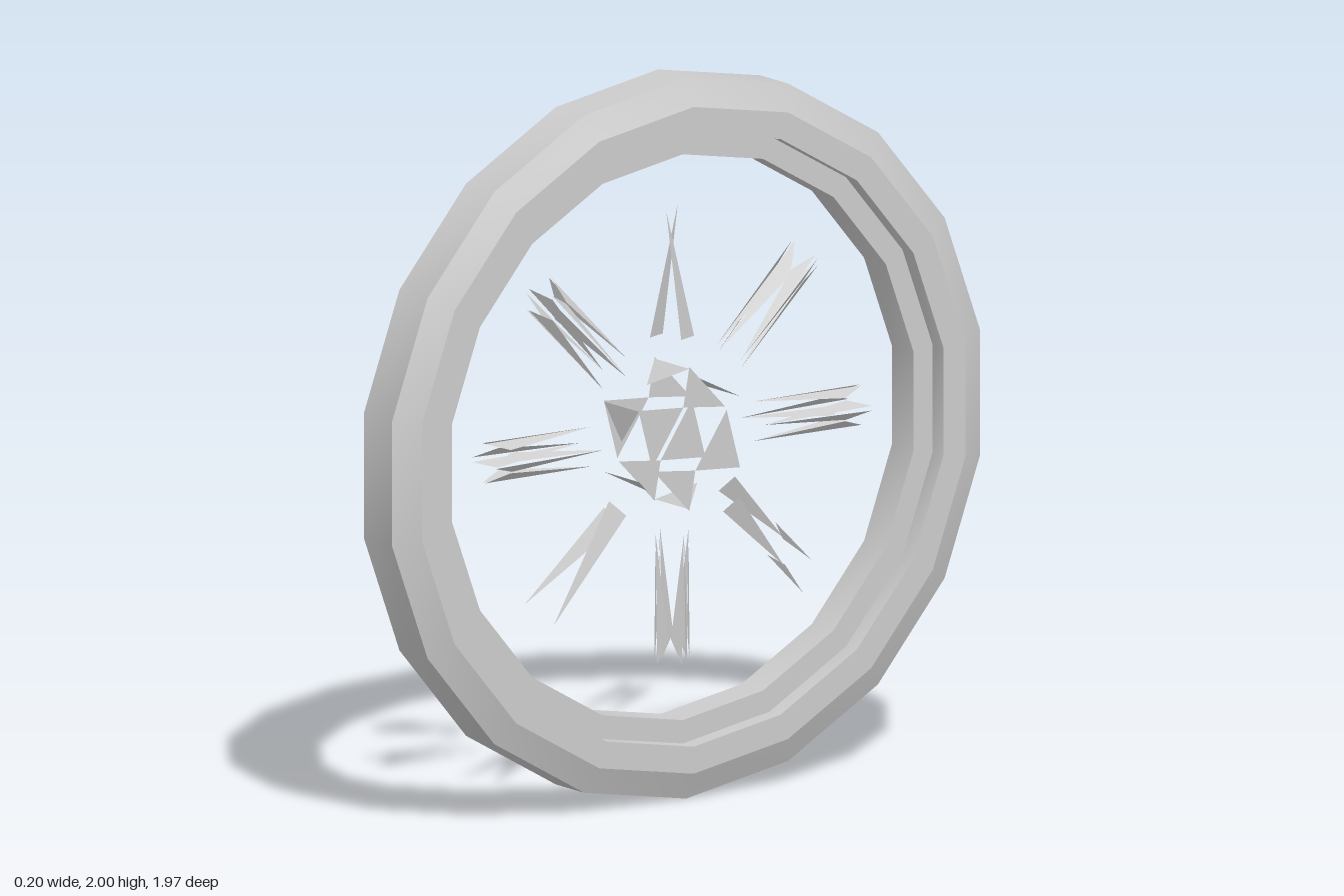
import * as THREE from 'three';
import { toCreasedNormals } from 'three/addons/utils/BufferGeometryUtils.js';

const grey = new THREE.MeshStandardMaterial({ color: 0xcccccc });
const thin = new THREE.MeshStandardMaterial({ color: 0xcccccc, flatShading: true, side: THREE.DoubleSide });

// 18-sided ring around the x axis; profile points are [radius, x]
function ring(name, profile) {
  const points = profile.map(([r, x]) => new THREE.Vector2(r, x));
  const geo = new THREE.LatheGeometry(points, 18, Math.PI / 2).rotateZ(Math.PI / 2);
  const mesh = new THREE.Mesh(toCreasedNormals(geo, 0.38), grey);
  mesh.name = name;
  return mesh;
}

// thin shards, each given as three [x, y, z] corners
function shards(name, triangles) {
  const geo = new THREE.BufferGeometry();
  geo.setAttribute('position', new THREE.Float32BufferAttribute(triangles.flat(2), 3));
  geo.computeVertexNormals();
  const mesh = new THREE.Mesh(geo, thin);
  mesh.name = name;
  return mesh;
}

// the same triangles, plus a copy turned half way round the spoke
const withTwin = (tris) => tris.concat(tris.map((t) => t.map(([x, y, z]) => [-x, y, -z])));

// four folded kites round the spoke, pointed at the hub and notched at the outer end
function clusterSpoke() {
  const tris = [];
  const at = (radius, r, angle) => [radius * Math.sin(angle), r, radius * Math.cos(angle)];
  for (let k = 0; k < 4; k++) {
    const a = (k * Math.PI) / 2;
    for (const s of [-1, 1]) {
      tris.push([at(0.055, 0.27, a), at(0.055, 0.63, a + s * 0.12), at(0.042, 0.56, a + s * 0.7)]);
    }
  }
  return tris;
}

// two blades with a broad foot at the hub, crossing or side by side
const crossedSpoke = () => withTwin([[[0.026, 0.27, -0.055], [0.048, 0.27, 0.004], [0.028, 0.63, 0.04]]]);
const splitSpoke = () => withTwin([
  [[0.026, 0.27, -0.055], [0.048, 0.27, 0], [0.04, 0.53, -0.04]],
  [[0.03, 0.47, -0.05], [0.04, 0.53, -0.036], [0.028, 0.64, -0.05]],
]);

// broken star on both hub faces and slivers on the hub side
function hubShards() {
  const tris = [];
  const star = [
    [[0.2, 0], [0.075, -0.12], [0.09, 0.02]],
    [[0.1, 0.17], [0.09, 0.02], [-0.065, 0.125]],
  ];
  for (const x of [0.08, -0.08]) {
    for (const s of [1, -1]) {
      for (const tri of star) tris.push(tri.map(([y, z]) => [x, s * y, s * z]));
    }
  }
  for (let k = 0; k < 6; k++) {
    const corner = (i) => [0.195 * Math.cos((i * Math.PI) / 3), 0.195 * Math.sin((i * Math.PI) / 3)];
    const [a, b] = [corner(k), corner(k + 1)];
    const mid = [(a[0] + b[0]) / 2, (a[1] + b[1]) / 2];
    tris.push([[0.08, ...a], [-0.08, ...a], [0, ...mid]]);
  }
  return tris;
}

export function createModel() {
  const wheel = new THREE.Group();
  wheel.name = 'wheel';

  // tyre with bevelled shoulders, and the narrower stepped rim inside it
  wheel.add(ring('tyre', [
    [0.85, -0.05], [0.85, -0.1], [0.925, -0.1], [1, -0.065],
    [1, 0.065], [0.925, 0.1], [0.85, 0.1], [0.85, 0.05],
  ]));
  wheel.add(ring('rim', [[0.85, 0.05], [0.785, 0.05], [0.785, -0.05], [0.85, -0.05]]));

  // eight spokes, counted from the top towards the front
  for (let i = 0; i < 8; i++) {
    const build = i === 0 || i === 3 ? crossedSpoke : i === 5 ? splitSpoke : clusterSpoke;
    const spoke = shards('spoke', build());
    spoke.rotation.x = (i * Math.PI) / 4;
    wheel.add(spoke);
  }
  wheel.add(shards('hub', hubShards()));

  wheel.position.y = 1;
  const model = new THREE.Group();
  model.add(wheel);
  return model;
}
